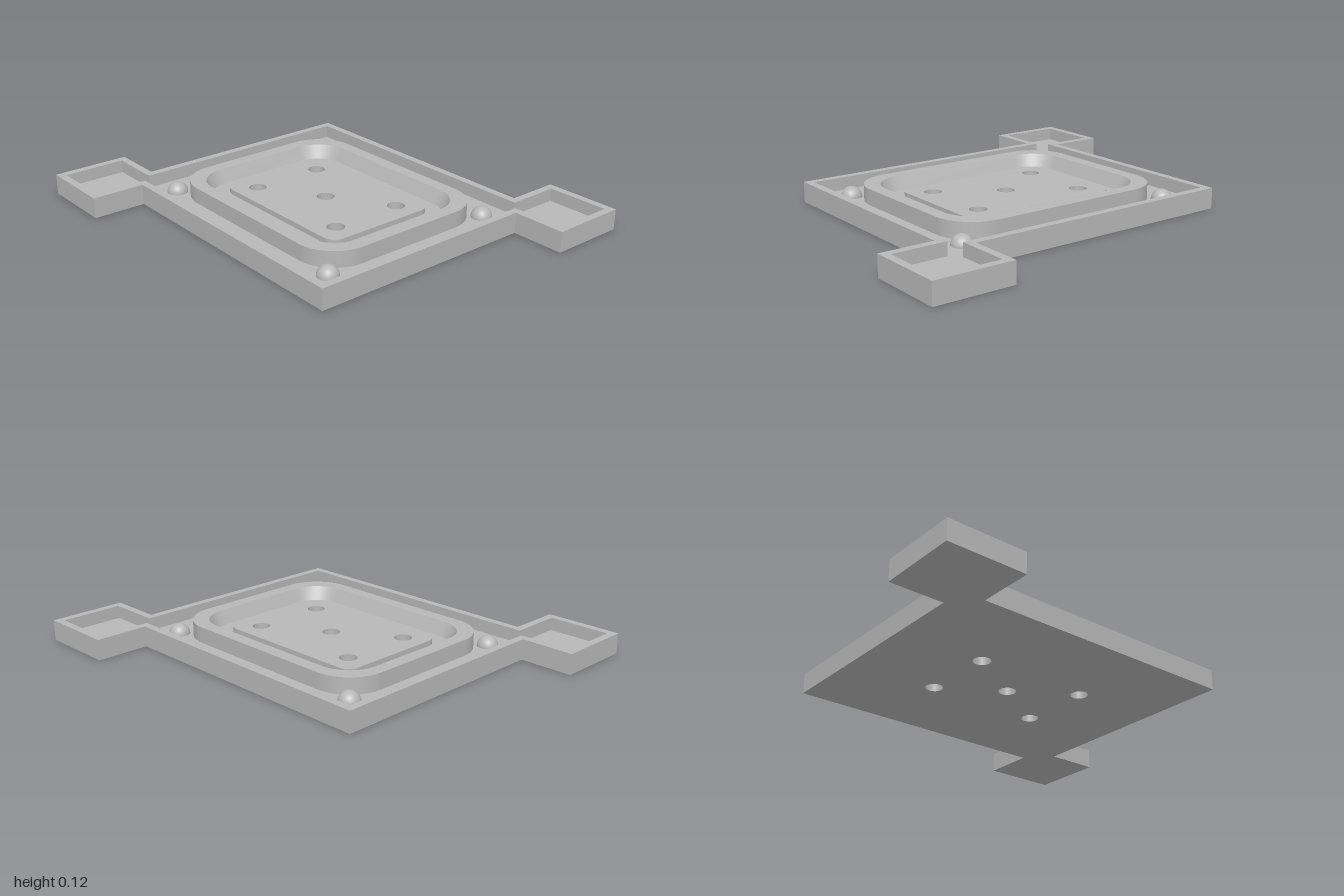
import * as THREE from 'three';

const FLOOR = 0.037, RIM_TOP = 0.1, RING_TOP = 0.115, POCKET = 0.05, PAD_TOP = 0.075;

// Rounded rectangle outline, counter-clockwise; half sizes w (x) and d (z)
function roundedPoints(w, d, r, n = 14) {
  const pts = [];
  [[1, 1], [-1, 1], [-1, -1], [1, -1]].forEach(([sx, sy], k) => {
    for (let i = 0; i <= n; i++) {
      const a = (k + i / n) * Math.PI / 2;
      pts.push(new THREE.Vector2(sx * (w - r) + r * Math.cos(a), sy * (d - r) + r * Math.sin(a)));
    }
  });
  return pts;
}

// Tray outline with two diagonal corner tabs, pulled inwards by t
function trayPoints(t) {
  const half = [
    [0.625 - t, 0.737 - t], [-0.505 - t, 0.737 - t], [-0.505 - t, 1 - t],
    [-0.885 + t, 1 - t], [-0.885 + t, 0.62 + t], [-0.625 + t, 0.62 + t],
  ];
  return [...half, ...half.map(([x, y]) => [-x, -y])].map(([x, y]) => new THREE.Vector2(x, y));
}

// Upright slab between heights y0 and y1
function slab(points, holes, y0, y1) {
  const shape = new THREE.Shape(points);
  shape.holes.push(...holes);
  const g = new THREE.ExtrudeGeometry(shape, { depth: y1 - y0, bevelEnabled: false, curveSegments: 24 });
  return g.rotateX(-Math.PI / 2).translate(0, y0, 0);
}

// Band joining two outlines at different heights
function band(a, ya, b, yb) {
  const n = a.length, pos = [], idx = [];
  a.forEach(p => pos.push(p.x, ya, -p.y));
  b.forEach(p => pos.push(p.x, yb, -p.y));
  for (let i = 0; i < n; i++) {
    const j = (i + 1) % n;
    idx.push(i, j, n + j, i, n + j, n + i);
  }
  const g = new THREE.BufferGeometry();
  g.setAttribute('position', new THREE.Float32BufferAttribute(pos, 3));
  g.setIndex(idx);
  g.computeVertexNormals();
  return g;
}

export function createModel() {
  const model = new THREE.Group();
  model.name = 'mouldTray';
  const grey = new THREE.MeshStandardMaterial({ color: 0xb8b8b8 });
  grey.name = 'grey';
  const add = (name, geometry, parent = model) => {
    const mesh = new THREE.Mesh(geometry, grey);
    mesh.name = name;
    parent.add(mesh);
    return mesh;
  };

  // Five through holes shared by the plate, pocket floor and pad
  const holes = [[0, 0], [0.182, 0.292], [-0.182, 0.292], [0.182, -0.292], [-0.182, -0.292]]
    .map(([x, y]) => new THREE.Path().absarc(x, y, 0.042, 0, Math.PI * 2, true));

  // Base plate and surrounding rim
  add('basePlate', slab(trayPoints(0), holes, 0, FLOOR));
  add('rim', slab(trayPoints(0), [new THREE.Path(trayPoints(0.037))], FLOOR, RIM_TOP));

  // Raised ring with a sloping inner wall
  const ring = new THREE.Group();
  ring.name = 'ring';
  model.add(ring);
  const profile = [
    [0.467, 0.58, 0.19, FLOOR], [0.467, 0.58, 0.19, RING_TOP],
    [0.403, 0.515, 0.16, RING_TOP], [0.37, 0.484, 0.13, POCKET],
  ];
  for (let i = 0; i < 3; i++) {
    const [w, d, r, y] = profile[i], [w2, d2, r2, y2] = profile[i + 1];
    add(['ringOuterWall', 'ringTop', 'ringInnerWall'][i],
      band(roundedPoints(w, d, r), y, roundedPoints(w2, d2, r2), y2), ring);
  }

  // Pocket floor and central pad
  add('pocketFloor', slab(roundedPoints(0.37, 0.484, 0.13), holes, FLOOR, POCKET));
  add('pad', slab(roundedPoints(0.295, 0.405, 0.06), holes, POCKET, PAD_TOP));

  // Locating domes near the four corners
  for (const x of [-0.46, 0.46]) for (const z of [-0.572, 0.572]) {
    const dome = add('locatingDome', new THREE.SphereGeometry(0.05, 32, 12, 0, Math.PI * 2, 0, Math.PI / 2));
    dome.position.set(x, FLOOR, z);
  }
  return model;
}
